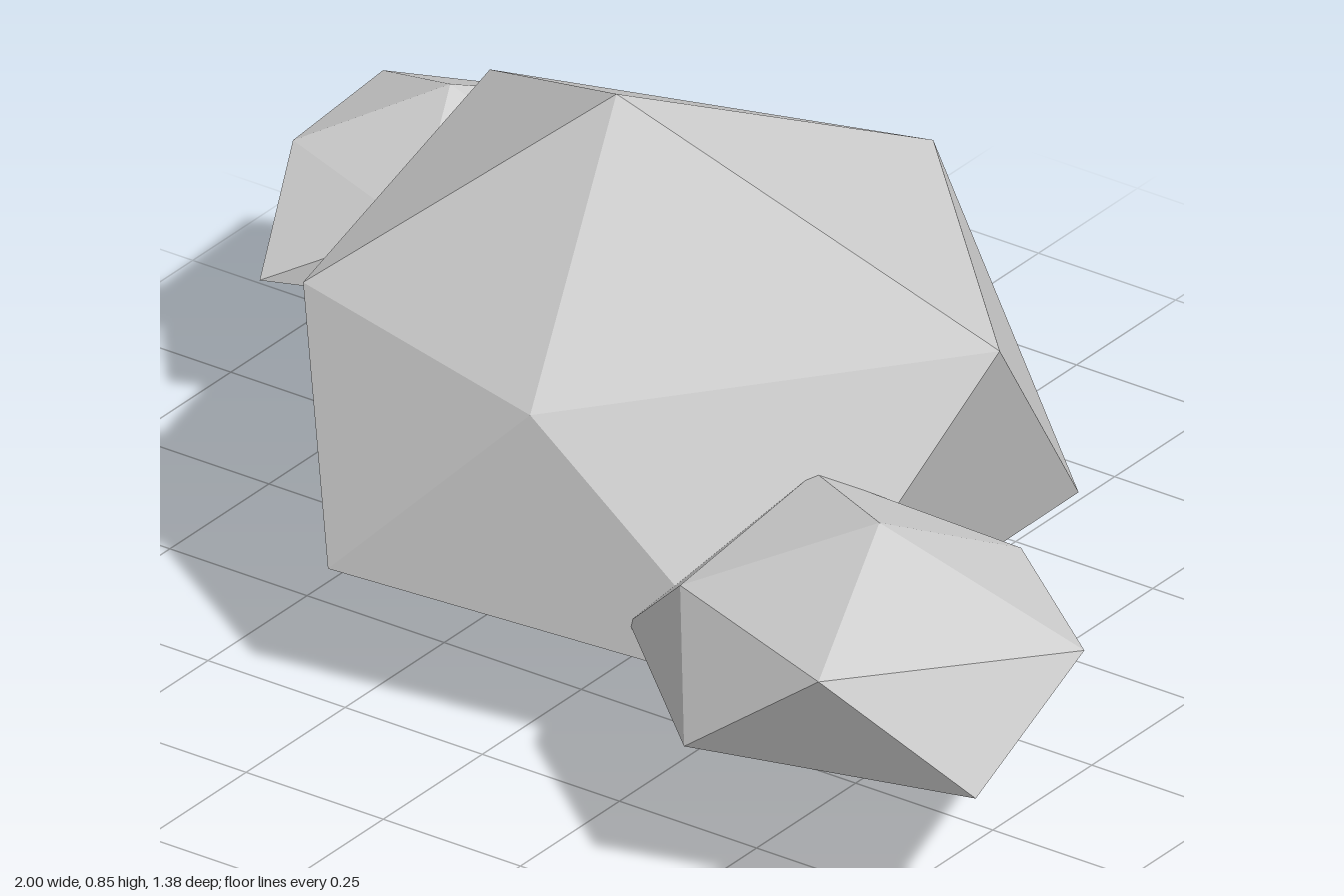
import * as THREE from 'three';

const stone = new THREE.MeshStandardMaterial({ color: 0xd0d0d0, flatShading: true });
stone.name = 'pale stone grey';

// A faceted boulder: apex, two staggered rings of five corners, and a bottom tip.
function makeBoulder(name, top, upper, lower, bottom) {
  const positions = [];
  const face = (a, b, c) => positions.push(...a, ...b, ...c);
  for (let i = 0; i < 5; i++) {
    const j = (i + 1) % 5;
    face(top, upper[i], upper[j]);
    face(upper[i], lower[i], upper[j]);
    face(lower[i], lower[j], upper[j]);
    face(bottom, lower[j], lower[i]);
  }
  const geometry = new THREE.BufferGeometry();
  geometry.setAttribute('position', new THREE.Float32BufferAttribute(positions, 3));
  geometry.computeVertexNormals();
  const mesh = new THREE.Mesh(geometry, stone);
  mesh.name = name;
  return mesh;
}

export function createModel() {
  const group = new THREE.Group();
  group.name = 'rockCluster';

  // Large central boulder
  group.add(makeBoulder('mainBoulder', [-0.12, 0.85, -0.005],
    [[0.575, 0.635, -0.01], [0.06, 0.59, -0.555], [-0.6, 0.59, -0.35], [-0.5, 0.53, 0.26], [0.015, 0.53, 0.4]],
    [[0.437, 0.185, -0.4], [-0.29, 0.215, -0.51], [-0.67, 0.21, -0.01], [-0.29, 0.215, 0.488], [0.44, 0.185, 0.385]],
    [-0.12, 0, -0.005]));

  // Medium rock at the front left
  group.add(makeBoulder('frontRock', [0.63, 0.53, 0.37],
    [[1, 0.43, 0.365], [0.715, 0.41, 0.13], [0.39, 0.465, 0.2], [0.375, 0.41, 0.52], [0.75, 0.44, 0.69]],
    [[0.86, 0.275, 0.23], [0.53, 0.265, 0.08], [0.195, 0.24, 0.4], [0.505, 0.255, 0.69], [0.95, 0.255, 0.57]],
    [0.63, 0.137, 0.37]));

  // Small rock at the back right
  group.add(makeBoulder('backRock', [-0.73, 0.49, -0.43],
    [[-0.41, 0.37, -0.435], [-0.635, 0.395, -0.675], [-0.95, 0.385, -0.565], [-0.93, 0.385, -0.31], [-0.63, 0.38, -0.2]],
    [[-0.44, 0.27, -0.605], [-0.83, 0.27, -0.69], [-1, 0.28, -0.435], [-0.85, 0.26, -0.115], [-0.5, 0.27, -0.23]],
    [-0.73, 0.185, -0.43]));

  return group;
}
